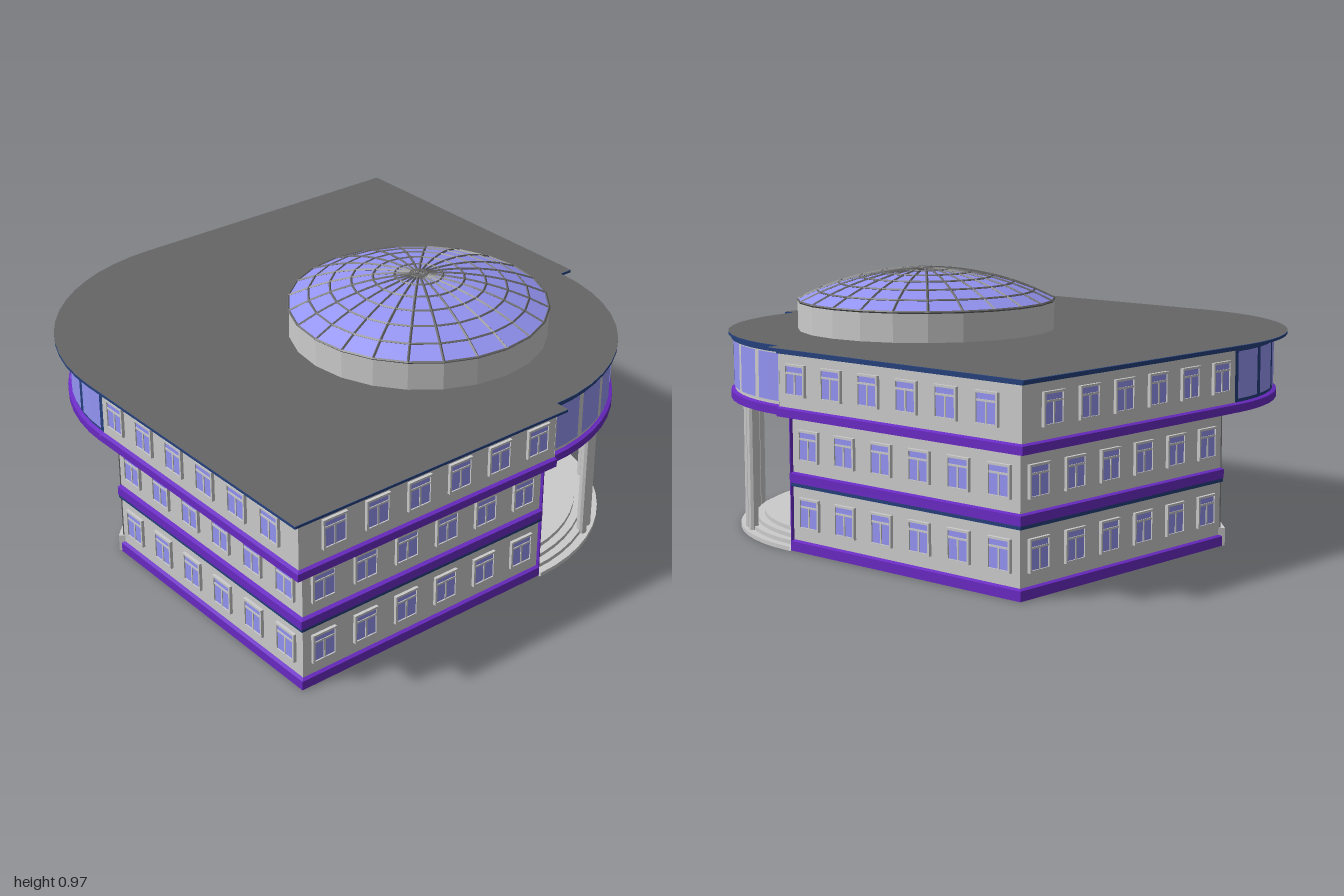
import * as THREE from 'three';

const mat = (color, flat = true) =>
  new THREE.MeshStandardMaterial({ color, flatShading: flat, side: THREE.DoubleSide });
const GREY = mat(0xcccccc), ROOF = mat(0x666666), PURPLE = mat(0x6a2ac4);
const NAVY = mat(0x25407c), GLASS = mat(0x9494f4);
const C = 0.2; // centre of the curved corners

function mesh(name, geometry, material, x = 0, y = 0, z = 0) {
  const m = new THREE.Mesh(geometry, material);
  m.name = name;
  m.position.set(x, y, z);
  return m;
}
const box = (name, w, h, d, material, x, y, z) =>
  mesh(name, new THREE.BoxGeometry(w, h, d), material, x, y, z);

// Sweeps a profile of [offset, y] along a plan path that depends on the offset
function sweep(name, profile, path, material) {
  const pos = [];
  for (let i = 0; i < profile.length - 1; i++) {
    const [d0, y0] = profile[i], [d1, y1] = profile[i + 1];
    const a = path(d0), b = path(d1);
    for (let j = 0; j < a.length - 1; j++) {
      const p = [a[j][0], y0, a[j][1]], q = [a[j + 1][0], y0, a[j + 1][1]];
      const r = [b[j + 1][0], y1, b[j + 1][1]], s = [b[j][0], y1, b[j][1]];
      pos.push(...p, ...s, ...q, ...q, ...s, ...r);
    }
  }
  const g = new THREE.BufferGeometry();
  g.setAttribute('position', new THREE.Float32BufferAttribute(pos, 3));
  g.computeVertexNormals();
  return mesh(name, g, material);
}

// Plan paths: two walls meeting at a corner, and an arc about (c, c)
const cornerPath = d => [[C, d], [-d, d], [-d, -C]];
const arcPath = (c, t0, t1, n) => r => Array.from({ length: n + 1 }, (_, i) => {
  const t = t0 + (t1 - t0) * i / n;
  return [c + r * Math.cos(t), c + r * Math.sin(t)];
});
const FRONT = [0, Math.PI / 2], BACK = [Math.PI, Math.PI * 1.5];

// Building outline with the curved entrance corner and the rounded rear corner
function outline(d, rFront) {
  const pts = [[-d, d], [C, d],
    ...arcPath(C, Math.PI / 2, 0, 12)(rFront),
    [d, C], [d, -d],
    ...arcPath(-C, Math.PI * 1.5, Math.PI, 14)(d - C)];
  return pts.map(p => new THREE.Vector2(...p));
}

function makeWindow() {
  const g = new THREE.Group();
  g.name = 'window';
  g.add(box('windowPane', 0.096, 0.106, 0.014, GLASS, 0, 0, 0));
  for (const s of [-1, 1]) {
    g.add(box('windowJamb', 0.008, 0.114, 0.024, GREY, s * 0.047, 0, 0));
    g.add(box('windowRail', 0.1, 0.008, 0.024, GREY, 0, s * 0.053, 0));
  }
  g.add(box('windowTransom', 0.092, 0.007, 0.02, GREY, 0, 0.025, 0));
  g.add(box('windowMullion', 0.007, 0.076, 0.02, GREY, 0, -0.015, 0));
  return g;
}

// Two three-storey walls with ledges and windows
function makeWing() {
  const g = new THREE.Group();
  g.name = 'wing';
  const bands = [
    ['basePlinth', PURPLE, [[0.9, 0], [0.9, 0.035], [0.887, 0.04]]],
    ['groundFloorWall', GREY, [[0.887, 0.04], [0.887, 0.235]]],
    ['lowerCornice', NAVY, [[0.887, 0.235], [0.9, 0.237], [0.9, 0.25]]],
    ['lowerLedge', PURPLE, [[0.9, 0.25], [0.903, 0.25], [0.903, 0.283], [0.887, 0.287]]],
    ['middleFloorWall', GREY, [[0.887, 0.287], [0.887, 0.48]]],
    ['upperCornice', NAVY, [[0.887, 0.48], [0.9, 0.482], [0.9, 0.496]]],
    ['upperLedge', PURPLE, [[0.9, 0.496], [0.96, 0.496], [0.96, 0.525], [0.946, 0.53]]],
    ['topFloorWall', GREY, [[0.946, 0.53], [0.946, 0.718]]],
    ['topCornice', NAVY, [[0.946, 0.718], [0.957, 0.72], [0.957, 0.737]]],
  ];
  for (const [name, m, profile] of bands) g.add(sweep(name, profile, cornerPath, m));
  for (const [y, d] of [[0.142, 0.887], [0.387, 0.887], [0.63, 0.946]]) {
    for (let i = 0; i < 6; i++) {
      const t = -0.8 + i * 0.182;
      const front = makeWindow(), side = makeWindow();
      front.position.set(t, y, d);
      side.position.set(-d, y, -t);
      side.rotation.y = -Math.PI / 2;
      g.add(front, side);
    }
  }
  return g;
}

// Curved band of tall panes on the top floor
function makeCurvedGlazing(name, c, range, r, frame) {
  const g = new THREE.Group();
  g.name = name;
  const arc = arcPath(c, ...range, 14), n = 7, step = (range[1] - range[0]) / n;
  g.add(sweep('glazingFrame', [[r, 0.53], [r, 0.737]], arc, frame));
  g.add(sweep('glazingCornice', [[r, 0.718], [r + 0.012, 0.72], [r + 0.012, 0.737]], arc, NAVY));
  g.add(sweep('glazingLedge', [[r - 0.03, 0.496], [r + 0.015, 0.496], [r + 0.015, 0.525], [r, 0.53]], arc, PURPLE));
  for (let i = 0; i < n; i++) {
    const t = range[0] + i * step;
    g.add(sweep('curvedPane', [[r + 0.004, 0.543], [r + 0.004, 0.714]],
      arcPath(c, t + 0.018, t + step - 0.018, 2), GLASS));
  }
  return g;
}

function makeEntrance() {
  const g = new THREE.Group();
  g.name = 'entrance';
  g.position.set(C, 0, C);
  // Quarter-round steps
  [0.71, 0.68, 0.65, 0.62].forEach((r, i) => g.add(mesh('step',
    new THREE.CylinderGeometry(r, r, 0.015, 14, 1, false, 0, Math.PI / 2), GREY, 0, 0.0075 + i * 0.015, 0)));
  // Curved back wall and the two wing end walls
  g.add(mesh('entranceWall',
    new THREE.CylinderGeometry(0.485, 0.485, 0.496, 5, 1, true, 0, Math.PI / 2), PURPLE, 0, 0.248, 0));
  g.add(box('wingEndWall', 0.004, 0.496, 0.217, PURPLE, 0, 0.248, 0.5915));
  g.add(box('wingEndWall', 0.217, 0.496, 0.004, PURPLE, 0.5915, 0.248, 0));
  g.add(box('topEndWall', 0.004, 0.24, 0.04, GREY, 0, 0.616, 0.727));
  g.add(box('topEndWall', 0.04, 0.24, 0.004, GREY, 0.727, 0.616, 0));
  // Paired columns
  for (const deg of [28, 33, 57, 62]) {
    const t = THREE.MathUtils.degToRad(deg);
    g.add(mesh('column', new THREE.CylinderGeometry(0.019, 0.019, 0.496, 10), GREY,
      0.68 * Math.cos(t), 0.248, 0.68 * Math.sin(t)));
  }
  // Door with a window over it
  const door = new THREE.Group();
  door.name = 'door';
  door.rotation.y = Math.PI / 4;
  door.add(box('doorFrame', 0.136, 0.24, 0.012, GREY, 0, 0.18, 0.48));
  for (const s of [-1, 1]) {
    door.add(box('doorLeaf', 0.054, 0.16, 0.02, GLASS, s * 0.031, 0.145, 0.48));
    door.add(box('doorTransom', 0.054, 0.05, 0.02, GLASS, s * 0.031, 0.265, 0.48));
  }
  const over = makeWindow();
  over.position.set(0, 0.39, 0.48);
  door.add(over);
  g.add(door);
  return g;
}

function makeDome() {
  const g = new THREE.Group();
  g.name = 'dome';
  g.position.set(C, 0, C);
  const r = 0.485, h = 0.115, R = (r * r + h * h) / (2 * h), base = 0.855;
  const yAt = x => base + h - R + Math.sqrt(R * R - x * x);
  const radii = [r, 0.41, 0.33, 0.25, 0.17, 0.09, 0];
  g.add(mesh('domeDrum', new THREE.CylinderGeometry(r, r, base - 0.74, 24, 1, true), GREY, 0, (base + 0.74) / 2, 0));
  g.add(mesh('domeGlass', new THREE.LatheGeometry(radii.map(x => new THREE.Vector2(x, yAt(x))), 24), GLASS));
  const meridian = new THREE.CatmullRomCurve3(radii.map(x => new THREE.Vector3(0, yAt(x), x)));
  const ribGeometry = new THREE.TubeGeometry(meridian, 12, 0.005, 4);
  for (let i = 0; i < 24; i++) {
    const rib = mesh('domeRib', ribGeometry, ROOF);
    rib.rotation.y = i * Math.PI / 12;
    g.add(rib);
  }
  for (const x of radii.slice(0, -1)) {
    const ring = mesh('domeRing', new THREE.TorusGeometry(x, 0.005, 4, 24), ROOF, 0, yAt(x), 0);
    ring.rotation.x = Math.PI / 2;
    g.add(ring);
  }
  g.add(mesh('domeHub', new THREE.CylinderGeometry(0.035, 0.04, 0.008, 16), ROOF, 0, base + h, 0));
  return g;
}

export function createModel() {
  const model = new THREE.Group();
  model.name = 'building';

  // Wings at two opposite corners
  const wingA = makeWing(), wingB = makeWing();
  wingB.rotation.y = Math.PI;
  model.add(wingA, wingB, makeEntrance(), makeDome());
  model.add(makeCurvedGlazing('frontGlazing', C, FRONT, 0.722, GREY));
  model.add(makeCurvedGlazing('rearGlazing', -C, BACK, 0.746, NAVY));

  // Round floor slab over the entrance
  const slab = mesh('entranceSlab', new THREE.CircleGeometry(0.72, 40), GREY, C, 0.5, C);
  slab.rotation.x = Math.PI / 2;
  model.add(slab);

  // Diagonal rear wall, its plinth and the overhang above
  const rear = new THREE.Group();
  rear.name = 'rearWall';
  rear.position.set(-0.543, 0, -0.543);
  rear.rotation.y = Math.PI / 4;
  rear.add(box('rearPanel', 0.97, 0.5, 0.01, ROOF, 0, 0.25, 0));
  rear.add(box('rearPlinth', 0.98, 0.065, 0.03, GREY, 0, 0.0325, -0.006));
  model.add(rear);
  const soffit = new THREE.Shape(arcPath(-C, ...BACK, 14)(0.75).map(p => new THREE.Vector2(...p)));
  model.add(mesh('rearSoffit', new THREE.ShapeGeometry(soffit).rotateX(Math.PI / 2), GREY, 0, 0.498, 0));

  // Roof sheet with a navy eave around it
  const roof = new THREE.Shape(outline(1, 0.745));
  model.add(mesh('roof', new THREE.ShapeGeometry(roof).rotateX(Math.PI / 2), ROOF, 0, 0.746, 0));
  const eave = new THREE.Shape(outline(1, 0.745));
  eave.holes.push(new THREE.Path(outline(0.94, 0.715)));
  model.add(mesh('eave', new THREE.ExtrudeGeometry(eave, { depth: 0.009, bevelEnabled: false })
    .rotateX(Math.PI / 2), NAVY, 0, 0.744, 0));
  return model;
}
